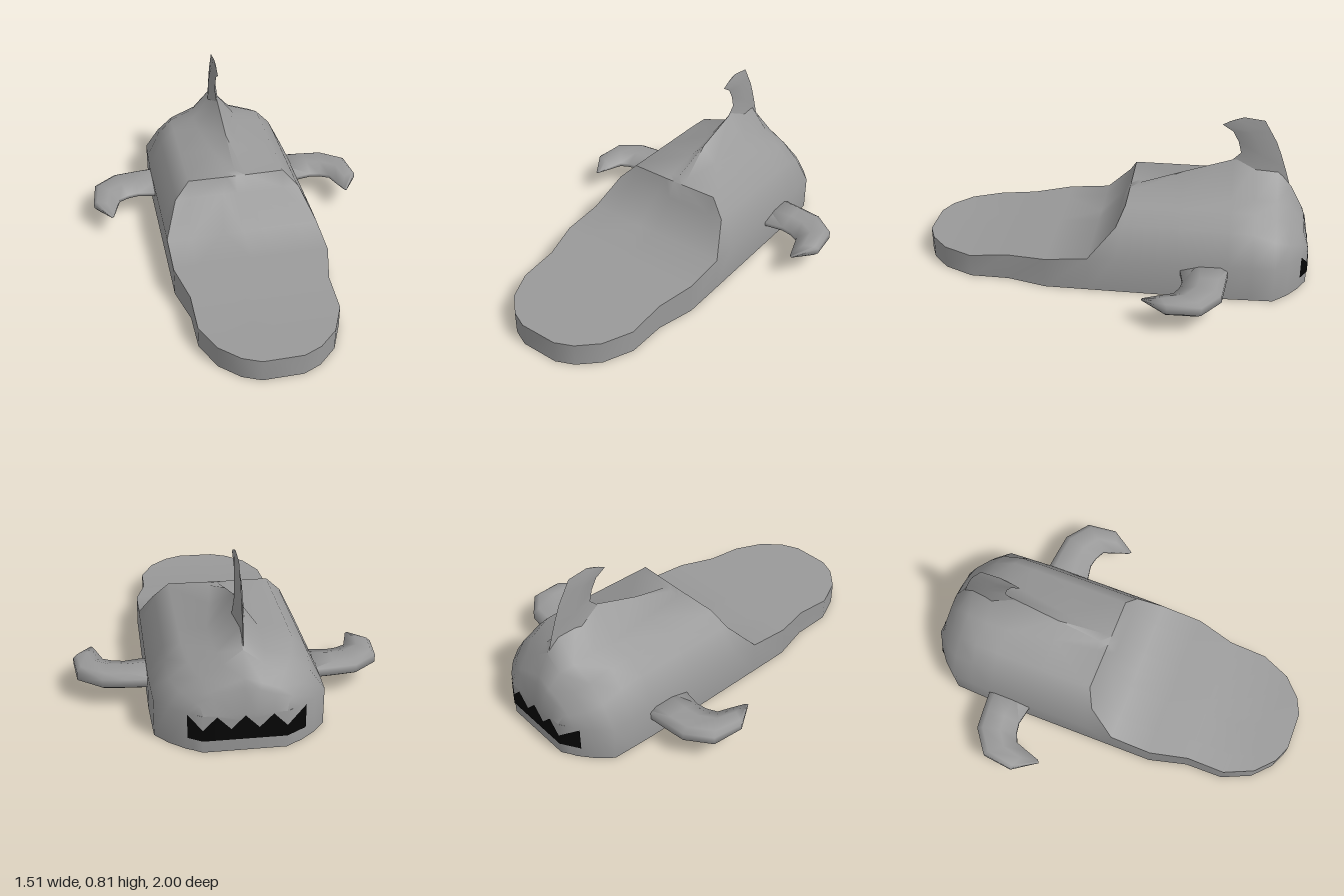
import * as THREE from 'three';
import { mergeVertices, toCreasedNormals } from 'three/addons/utils/BufferGeometryUtils.js';

// Skin a list of equal-length rings, cap both ends, and face everything outward
function loft(rings, crease) {
  const n = rings[0].length, pos = rings.flat(2), index = [];
  for (let r = 0; r < rings.length - 1; r++) {
    for (let i = 0; i < n; i++) {
      const a = r * n + i, b = r * n + (i + 1) % n;
      // mirror the diagonals so both halves match
      if (i < n / 2) index.push(a, b, b + n, a, b + n, a + n);
      else index.push(a, b, a + n, b, b + n, a + n);
    }
  }
  [0, rings.length - 1].forEach((r, end) => {
    const c = pos.length / 3;
    for (let k = 0; k < 3; k++) pos.push(rings[r].reduce((s, p) => s + p[k], 0) / n);
    for (let i = 0; i < n; i++) {
      const a = r * n + i, b = r * n + (i + 1) % n;
      if (end) index.push(c, a, b); else index.push(c, b, a);
    }
  });
  const point = i => new THREE.Vector3().fromArray(pos, i * 3);
  let volume = 0;
  for (let i = 0; i < index.length; i += 3) {
    volume += point(index[i]).dot(point(index[i + 1]).cross(point(index[i + 2])));
  }
  if (volume < 0) index.reverse();
  const g = new THREE.BufferGeometry();
  g.setAttribute('position', new THREE.Float32BufferAttribute(pos, 3));
  g.setIndex(index);
  return toCreasedNormals(mergeVertices(g), crease);
}

// One slipper cross-section; upper points are [x, y] from the side towards the ridge
function section(z, w, edgeY, upper, topY) {
  const half = [[w, 0], [w, edgeY], ...upper];
  const mirrored = half.map(([x, y]) => [-x, y, z]).reverse();
  return [...half.map(([x, y]) => [x, y, z]), [0, topY, z], ...mirrored];
}
const flat = (z, w, y) => section(z, w, y, [[w * 0.99, y], [w * 0.7, y], [w * 0.25, y]], y);

function bodyGeometry() {
  return loft([
    // heel and footbed
    flat(1, 0.1, 0.12), flat(0.96, 0.19, 0.12), flat(0.87, 0.285, 0.12),
    flat(0.72, 0.352, 0.12), flat(0.52, 0.354, 0.14), flat(0.32, 0.405, 0.16), flat(0.1, 0.405, 0.18),
    // rise at the opening
    section(-0.035, 0.405, 0.185, [[0.335, 0.33], [0.25, 0.33], [0.08, 0.33]], 0.33),
    section(-0.075, 0.405, 0.185, [[0.33, 0.335], [0.255, 0.415], [0.05, 0.413]], 0.413),
    // covered toe with its ridge
    section(-0.12, 0.405, 0.185, [[0.33, 0.335], [0.255, 0.415], [0.05, 0.413]], 0.42),
    section(-0.35, 0.405, 0.185, [[0.33, 0.335], [0.255, 0.415], [0.08, 0.413]], 0.5),
    section(-0.6, 0.405, 0.185, [[0.33, 0.335], [0.255, 0.415], [0.12, 0.413]], 0.583),
    section(-0.72, 0.4, 0.185, [[0.33, 0.33], [0.255, 0.41], [0.12, 0.413]], 0.575),
    section(-0.83, 0.395, 0.185, [[0.32, 0.29], [0.235, 0.365], [0.11, 0.405]], 0.53),
    section(-0.9, 0.335, 0.185, [[0.28, 0.26], [0.19, 0.325], [0.09, 0.38]], 0.45),
    section(-0.96, 0.26, 0.185, [[0.22, 0.235], [0.16, 0.28], [0.08, 0.31]], 0.34),
    section(-0.975, 0.23, 0.185, [[0.2, 0.225], [0.14, 0.26], [0.07, 0.285]], 0.3),
    flat(-1, 0.19, 0.185),
  ], 1.1);
}

// Upright fin: diamond sections between a leading and a trailing edge
function finGeometry() {
  return loft([
    [-0.89, 0.46, -0.5, 0.46, 0.04], [-0.862, 0.55, -0.585, 0.57, 0.026],
    [-0.838, 0.62, -0.635, 0.62, 0.021], [-0.81, 0.69, -0.62, 0.68, 0.017],
    [-0.778, 0.745, -0.59, 0.735, 0.012], [-0.745, 0.802, -0.535, 0.77, 0.007],
    [-0.64, 0.815, -0.57, 0.79, 0.002],
  ].map(([za, ya, zb, yb, t]) => {
    const y = (ya + yb) / 2, z = (za + zb) / 2;
    return [[0, ya, za], [t, y, z], [0, yb, zb], [-t, y, z]];
  }), 0.8);
}

// Side flipper: rounded sections between outer and inner edges, curling to a tip
function flipperGeometry(side) {
  return loft([
    [0.36, -0.605, 0.36, -0.36, 0.04], [0.5, -0.592, 0.5, -0.385, 0.04],
    [0.61, -0.58, 0.555, -0.375, 0.04], [0.73, -0.49, 0.605, -0.35, 0.04],
    [0.75, -0.33, 0.63, -0.275, 0.028], [0.665, -0.2, 0.65, -0.21, 0.004],
  ].map(([xa, za, xb, zb, t]) => [
    [0, 0.5], [0.15, 1], [0.6, 0.95], [1, 0.25], [1, -0.25], [0.6, -0.95], [0.15, -1], [0, -0.5],
  ].map(([f, h]) => [side * (xa + (xb - xa) * f), 0.14 + h * t, za + (zb - za) * f])), 1.6);
}

// Zigzag strip wrapped round the nose
function teethGeometry() {
  const columns = [0.255];
  for (let i = 0; i < 7; i++) columns.push(0.19 - i * 0.0633);
  columns.push(-0.285);
  const pos = [], index = [];
  columns.forEach((x, i) => {
    const z = -1.004 + Math.max(0, Math.abs(x) - 0.19) * 0.6;
    pos.push(x, 0.06, z, x, i % 2 ? 0.115 : 0.18, z);
    if (i) {
      const a = 2 * i - 2;
      index.push(a, a + 2, a + 3, a, a + 3, a + 1);
    }
  });
  const g = new THREE.BufferGeometry();
  g.setAttribute('position', new THREE.Float32BufferAttribute(pos, 3));
  g.setIndex(index);
  g.computeVertexNormals();
  return g;
}

export function createModel() {
  const grey = new THREE.MeshStandardMaterial({ color: 0x999999 });
  grey.name = 'grey';
  const black = new THREE.MeshStandardMaterial({ color: 0x050505, side: THREE.DoubleSide });
  black.name = 'black';

  const model = new THREE.Group();
  model.name = 'finnedSlipper';
  const add = (name, geometry, material, x = 0, z = 0) => {
    const mesh = new THREE.Mesh(geometry, material);
    mesh.name = name;
    mesh.position.set(x, 0, z);
    model.add(mesh);
  };
  add('slipperBody', bodyGeometry(), grey, -0.006);
  add('topFin', finGeometry(), grey, -0.01);
  add('leftFlipper', flipperGeometry(1), grey);
  add('rightFlipper', flipperGeometry(-1), grey, -0.008, -0.012);
  add('teeth', teethGeometry(), black, -0.006);
  return model;
}
